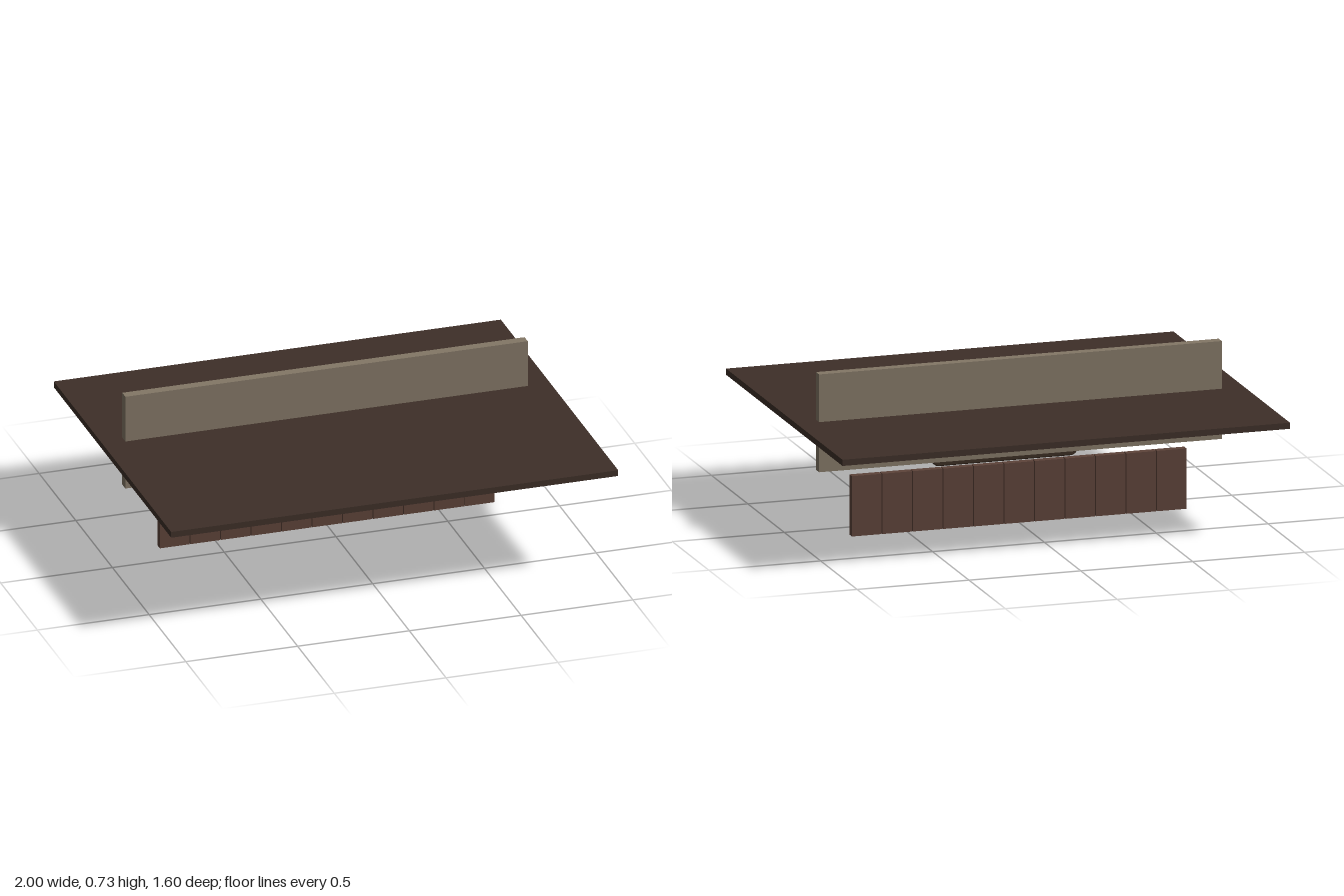
import * as THREE from 'three';

const mat = (name, color) => {
  const m = new THREE.MeshStandardMaterial({ color });
  m.name = name;
  return m;
};

// Rounded rectangle centred on the origin
function roundedRect(w, h, r) {
  const x = w / 2, y = h / 2, s = new THREE.Shape();
  s.moveTo(-x + r, -y);
  s.lineTo(x - r, -y);
  s.absarc(x - r, -y + r, r, -Math.PI / 2, 0);
  s.lineTo(x, y - r);
  s.absarc(x - r, y - r, r, 0, Math.PI / 2);
  s.lineTo(-x + r, y);
  s.absarc(-x + r, y - r, r, Math.PI / 2, Math.PI);
  s.lineTo(-x, -y + r);
  s.absarc(-x + r, -y + r, r, Math.PI, Math.PI * 1.5);
  return s;
}

export function createModel() {
  const group = new THREE.Group();
  const darkWood = mat('dark wood', 0x3e2f28);
  const stone = mat('grey beige', 0x837766);
  const brown = mat('brown wood', 0x5d4339);
  const frameWood = mat('frame wood', 0x3a2c21);
  const cream = mat('cream', 0xc8b99c);
  const iron = mat('dark iron', 0x2a211b);

  const add = (name, geometry, material, x, y, z, parent = group) => {
    const mesh = new THREE.Mesh(geometry, material);
    mesh.name = name;
    mesh.position.set(x, y, z);
    parent.add(mesh);
    return mesh;
  };

  // Wide flat canopy and the beam standing through it
  add('canopy', new THREE.BoxGeometry(2, 0.027, 1.6), darkWood, 0, 0.506, 0);
  add('beam', new THREE.BoxGeometry(1.8, 0.43, 0.043), stone, 0, 0.514, -0.15);

  // Row of narrow boards with fine gaps
  const boards = new THREE.Group();
  boards.name = 'boards';
  group.add(boards);
  const count = 11, step = 1.5 / count;
  const boardGeo = new THREE.BoxGeometry(step - 0.004, 0.265, 0.034);
  for (let i = 0; i < count; i++) {
    add('board', boardGeo, brown, (i - (count - 1) / 2) * step, 0.1325, -0.138, boards);
  }

  // Hanging sign: rounded backing with bevelled edges and a cream face
  const sign = new THREE.Group();
  sign.name = 'sign';
  sign.position.set(0, 0.328, 0.06);
  group.add(sign);
  const bevel = 0.005;
  const backing = new THREE.ExtrudeGeometry(roundedRect(0.645, 0.202, 0.03), {
    depth: 0.038 - 2 * bevel, bevelThickness: bevel, bevelSize: bevel, bevelSegments: 2, curveSegments: 6,
  });
  backing.translate(0, 0, -(0.038 - 2 * bevel) / 2);
  add('signFrame', backing, frameWood, 0, 0, 0, sign);
  const face = new THREE.ExtrudeGeometry(roundedRect(0.626, 0.184, 0.024), {
    depth: 0.004, bevelEnabled: false, curveSegments: 6,
  });
  add('signFace', face, cream, 0, 0, 0.017, sign);

  // Hanger rods with a small fixing at the sign
  for (const x of [-0.207, 0.207]) {
    add('hangerRod', new THREE.CylinderGeometry(0.004, 0.004, 0.07, 8), iron, x, 0.461, 0.053);
    add('hangerFixing', new THREE.CylinderGeometry(0.004, 0.008, 0.02, 8), iron, x, 0.441, 0.053);
  }
  return group;
}
